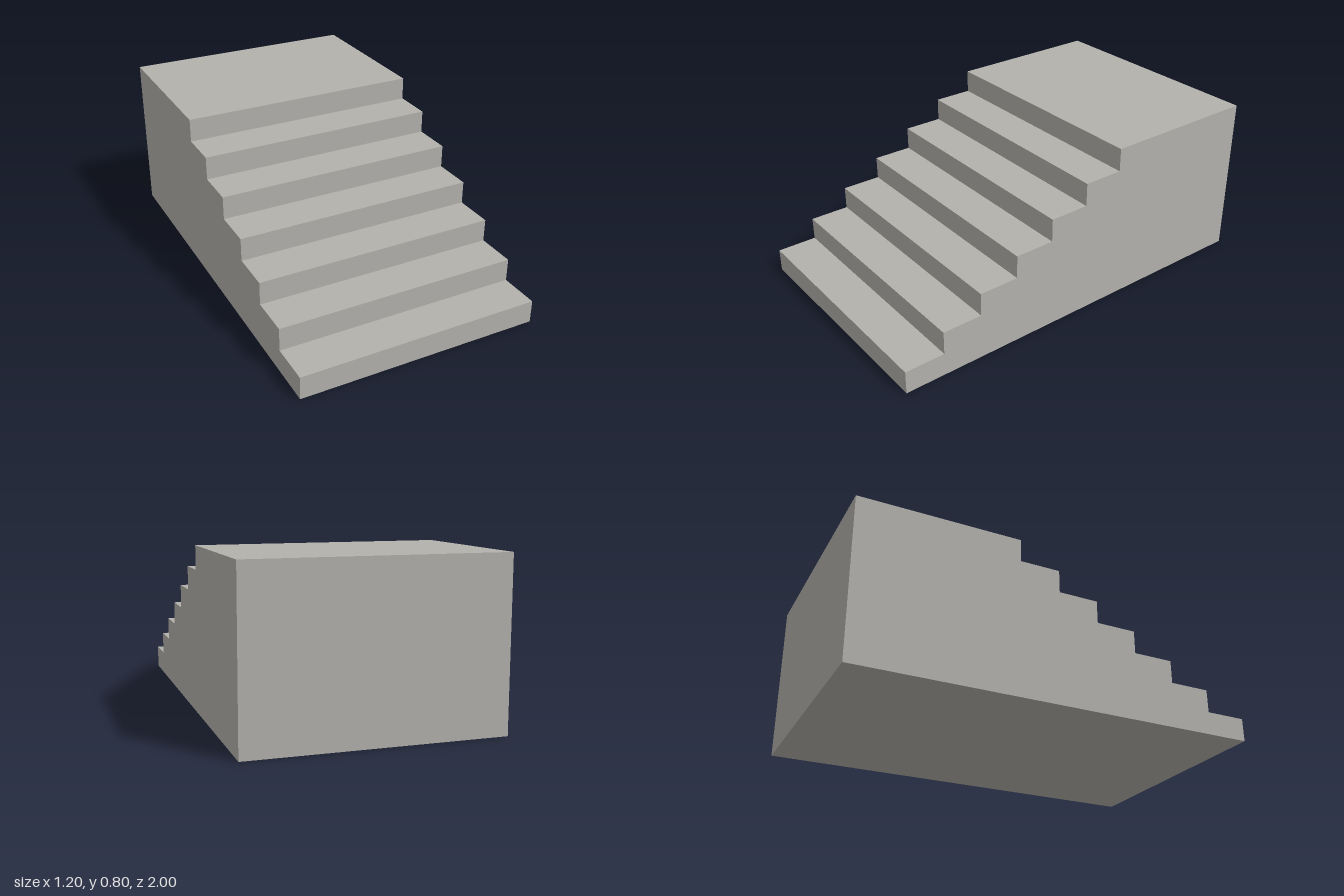
import * as THREE from 'three';

const WIDTH = 1.2, HEIGHT = 0.8, STEPS = 7, TREAD = 0.2;

export function createModel() {
  const group = new THREE.Group();
  group.name = 'staircase';

  const stone = new THREE.MeshStandardMaterial({ color: 0xb3b1ac });
  stone.name = 'grey stone';

  // Side profile: shape x becomes model z, climbing from the front to the landing
  const profile = new THREE.Shape();
  profile.moveTo(-1, 0);
  profile.lineTo(1, 0);
  for (let i = 0; i < STEPS; i++) {
    const z = 1 - i * TREAD;
    const y = (HEIGHT * (i + 1)) / STEPS;
    profile.lineTo(z, y); // riser
    profile.lineTo(i < STEPS - 1 ? z - TREAD : -1, y); // tread or landing
  }
  profile.closePath();

  // Solid block of steps, extruded across the width
  const geometry = new THREE.ExtrudeGeometry(profile, { depth: WIDTH, bevelEnabled: false });
  geometry.translate(0, 0, -WIDTH / 2);
  geometry.rotateY(-Math.PI / 2);

  const steps = new THREE.Mesh(geometry, stone);
  steps.name = 'stepsAndLanding';
  group.add(steps);
  return group;
}
